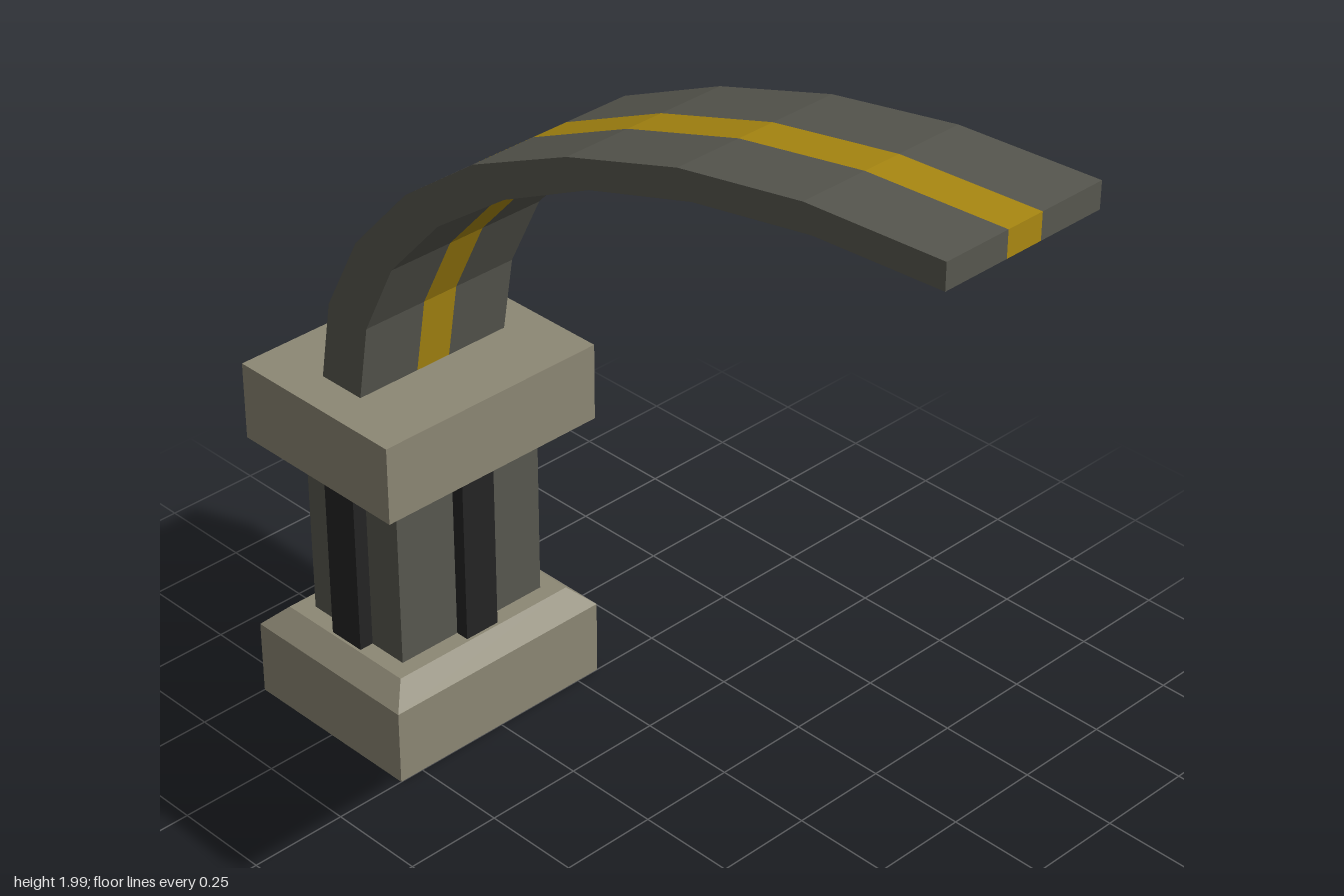
import * as THREE from 'three';

const material = (name, color) => {
  const m = new THREE.MeshStandardMaterial({ color });
  m.name = name;
  return m;
};

export function createModel() {
  const stone = material('pale stone', 0x8d8875);
  const grey = material('dark grey', 0x585850);
  const black = material('near black', 0x242424);
  const yellow = material('ochre yellow', 0xac8a12);

  const model = new THREE.Group();
  model.name = 'curvedArmOnPillar';
  const pillar = new THREE.Group();
  pillar.name = 'pillar';
  pillar.position.x = -0.75;
  model.add(pillar);

  const add = (parent, name, geometry, mat) => {
    const mesh = new THREE.Mesh(geometry, mat);
    mesh.name = name;
    parent.add(mesh);
    return mesh;
  };

  // Box from y0 to y1, with optional half sizes for a tapered top or bottom
  const block = (name, y0, y1, [bx, bz], mat, [tx, tz] = [bx, bz]) => {
    let g = new THREE.BoxGeometry(2, y1 - y0, 2);
    const p = g.attributes.position;
    for (let i = 0; i < p.count; i++) {
      const top = p.getY(i) > 0;
      p.setX(i, p.getX(i) * (top ? tx : bx));
      p.setZ(i, p.getZ(i) * (top ? tz : bz));
    }
    g.computeVertexNormals();
    const mesh = add(pillar, name, g, mat);
    mesh.position.y = (y0 + y1) / 2;
    return mesh;
  };

  // Stone plinth and capital with sloped collars
  const wide = [0.25, 0.315], narrow = [0.2, 0.262];
  block('plinth', 0, 0.195, wide, stone);
  block('plinthCollar', 0.195, 0.245, wide, stone, narrow);
  block('capitalCollar', 0.683, 0.725, narrow, stone, wide);
  block('capital', 0.725, 0.925, wide, stone);

  // Shaft with a raised rib on each side
  block('shaft', 0.245, 0.683, [0.157, 0.218], grey);
  for (const s of [-1, 1]) {
    block('sideRib', 0.245, 0.683, [0.0175, 0.048], black).position.x = s * 0.1745;
    block('faceRib', 0.245, 0.683, [0.05, 0.0185], black).position.z = s * 0.2365;
  }

  // Curved arm: side profile, thinning towards the tip
  const outer = [[-0.83, 0.925], [-0.795, 1.13], [-0.69, 1.33], [-0.515, 1.52], [-0.295, 1.68],
    [-0.01, 1.81], [0.305, 1.91], [0.64, 1.97], [1, 1.99]];
  const inner = [[-0.7, 0.925], [-0.667, 1.12], [-0.572, 1.31], [-0.412, 1.485], [-0.2, 1.635],
    [0.055, 1.76], [0.345, 1.85], [0.665, 1.907], [1, 1.927]];
  const profile = new THREE.Shape([...outer, ...inner.reverse()].map(([x, y]) => new THREE.Vector2(x, y)));

  // The arm is three strips side by side, the middle one yellow
  const arm = new THREE.Group();
  arm.name = 'arm';
  model.add(arm);
  const strip = (name, z0, z1, mat) => {
    const g = new THREE.ExtrudeGeometry(profile, { depth: z1 - z0, bevelEnabled: false });
    add(arm, name, g, mat).position.z = z0;
  };
  strip('armBack', -0.218, -0.048, grey);
  strip('armStripe', -0.048, 0.048, yellow);
  strip('armFront', 0.048, 0.218, grey);

  return model;
}
